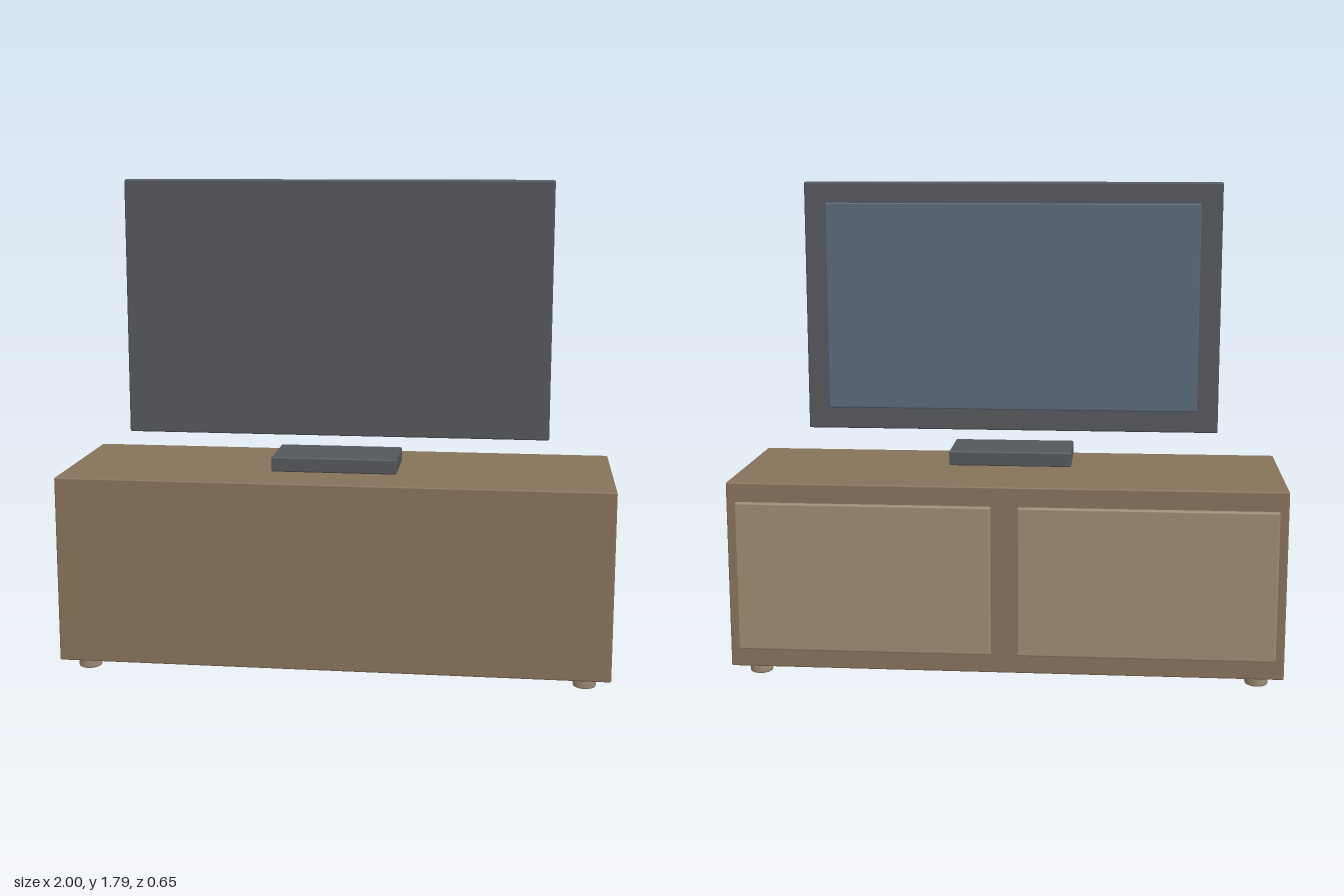
import * as THREE from 'three';
import { RoundedBoxGeometry } from 'three/addons/geometries/RoundedBoxGeometry.js';

const paint = (color) => new THREE.MeshStandardMaterial({ color });

// Softly rounded box given by its extents on each axis
function box(name, [x0, x1], [y0, y1], [z0, z1], radius, material) {
  const geometry = new RoundedBoxGeometry(x1 - x0, y1 - y0, z1 - z0, 2, radius);
  const mesh = new THREE.Mesh(geometry, material);
  mesh.position.set((x0 + x1) / 2, (y0 + y1) / 2, (z0 + z1) / 2);
  mesh.name = name;
  return mesh;
}

export function createModel() {
  const model = new THREE.Group();
  model.name = 'televisionOnCabinet';
  const wood = paint(0x86725a);
  const doorWood = paint(0x9c8b72);
  const footWood = paint(0x9c8b72);
  const plastic = paint(0x54575b);
  const glass = paint(0x5a6878);

  // Cabinet body with two raised doors
  const cabinet = new THREE.Group();
  cabinet.name = 'cabinet';
  cabinet.add(box('cabinetBody', [-1, 1], [0.045, 0.732], [-0.311, 0.327], 0.006, wood));
  cabinet.add(box('leftDoor', [0.047, 0.968], [0.114, 0.661], [-0.327, -0.295], 0.007, doorWood));
  cabinet.add(box('rightDoor', [-0.968, -0.047], [0.114, 0.661], [-0.327, -0.295], 0.007, doorWood));

  // Short round feet with softened rims
  const footProfile = [[0, 0], [0.036, 0], [0.04, 0.002], [0.042, 0.007], [0.042, 0.036], [0.04, 0.043], [0.036, 0.046], [0, 0.046]];
  const footGeometry = new THREE.LatheGeometry(footProfile.map(([r, y]) => new THREE.Vector2(r, y)), 32);
  for (const x of [-0.91, 0.91]) {
    for (const z of [-0.223, 0.241]) {
      const foot = new THREE.Mesh(footGeometry, footWood);
      foot.name = 'foot';
      foot.position.set(x, 0, z);
      cabinet.add(foot);
    }
  }

  // Television: housing, screen panel and separate base plate
  const television = new THREE.Group();
  television.name = 'television';
  television.add(box('housing', [-0.766, 0.766], [0.87, 1.788], [0.043, 0.13], 0.006, plastic));
  television.add(box('screen', [-0.688, 0.688], [0.95, 1.712], [0.031, 0.06], 0.005, glass));
  television.add(box('basePlate', [-0.227, 0.227], [0.748, 0.803], [-0.032, 0.208], 0.006, plastic));

  model.add(cabinet, television);
  return model;
}
